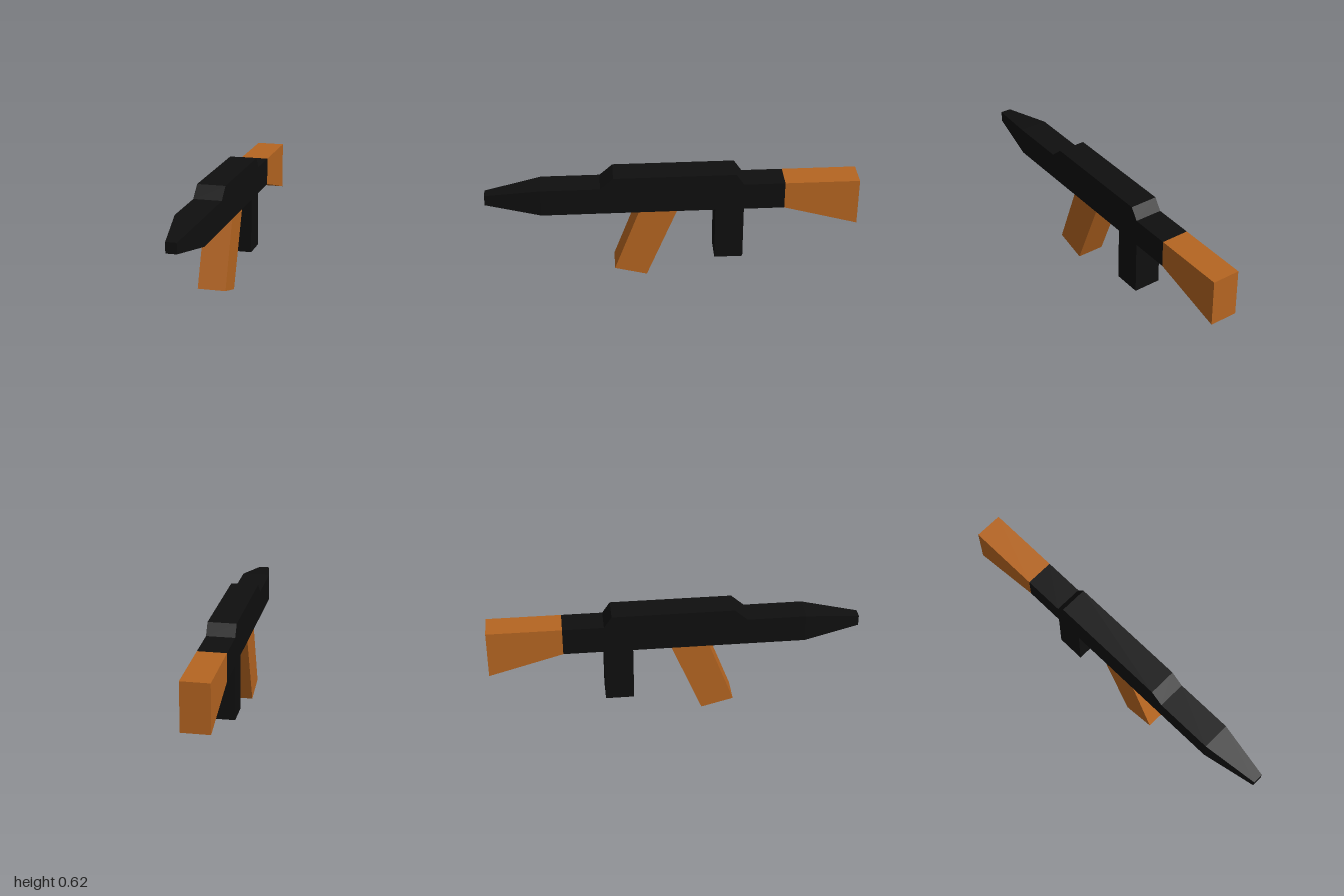
import * as THREE from 'three';

const WIDTH = 0.152;
const BOTTOM = 0.403, TOP = 0.554;

// Extrudes a side profile of [z, y] points across the width, centred on x = 0.
function slab(name, points, material) {
  const shape = new THREE.Shape(points.map(([z, y]) => new THREE.Vector2(z, y)));
  const geometry = new THREE.ExtrudeGeometry(shape, { depth: WIDTH, bevelEnabled: false });
  geometry.translate(0, 0, -WIDTH / 2).rotateY(-Math.PI / 2);
  const mesh = new THREE.Mesh(geometry, material);
  mesh.name = name;
  return mesh;
}

// Box whose front end shrinks to a smaller square.
function taperedBarrel(material) {
  const length = 0.3, height = TOP - BOTTOM, tip = 0.057;
  const geometry = new THREE.BoxGeometry(WIDTH, height, length);
  const p = geometry.attributes.position;
  for (let i = 0; i < p.count; i++) {
    if (p.getZ(i) > 0) p.setXY(i, Math.sign(p.getX(i)) * tip / 2, Math.sign(p.getY(i)) * tip / 2);
  }
  geometry.computeVertexNormals();
  const mesh = new THREE.Mesh(geometry, material);
  mesh.name = 'barrel';
  mesh.position.set(0, (TOP + BOTTOM) / 2, 0.7 + length / 2);
  return mesh;
}

export function createModel() {
  const black = new THREE.MeshStandardMaterial({ color: 0x0f0f0f, flatShading: true });
  black.name = 'black metal';
  const wood = new THREE.MeshStandardMaterial({ color: 0xb56521, flatShading: true });
  wood.name = 'brown wood';

  const model = new THREE.Group();
  model.name = 'rifle';
  model.add(
    // Main body with its raised top cover
    slab('receiver', [
      [-0.6, BOTTOM], [0.7, BOTTOM], [0.7, TOP], [0.385, TOP],
      [0.315, 0.616], [-0.338, 0.616], [-0.38, TOP], [-0.6, TOP],
    ], black),
    taperedBarrel(black),
    // Shoulder stock, deeper towards the back
    slab('stock', [[-1, 0.29], [-0.6, BOTTOM], [-0.6, TOP], [-1, TOP]], wood),
    // Slanted magazine
    slab('magazine', [[0.143, 0], [0.317, 0.046], [0.182, BOTTOM], [-0.022, BOTTOM]], wood),
    // Upright rear handle
    slab('handle', [[-0.382, 0.097], [-0.228, 0.097], [-0.228, BOTTOM], [-0.382, BOTTOM]], black),
  );
  return model;
}
